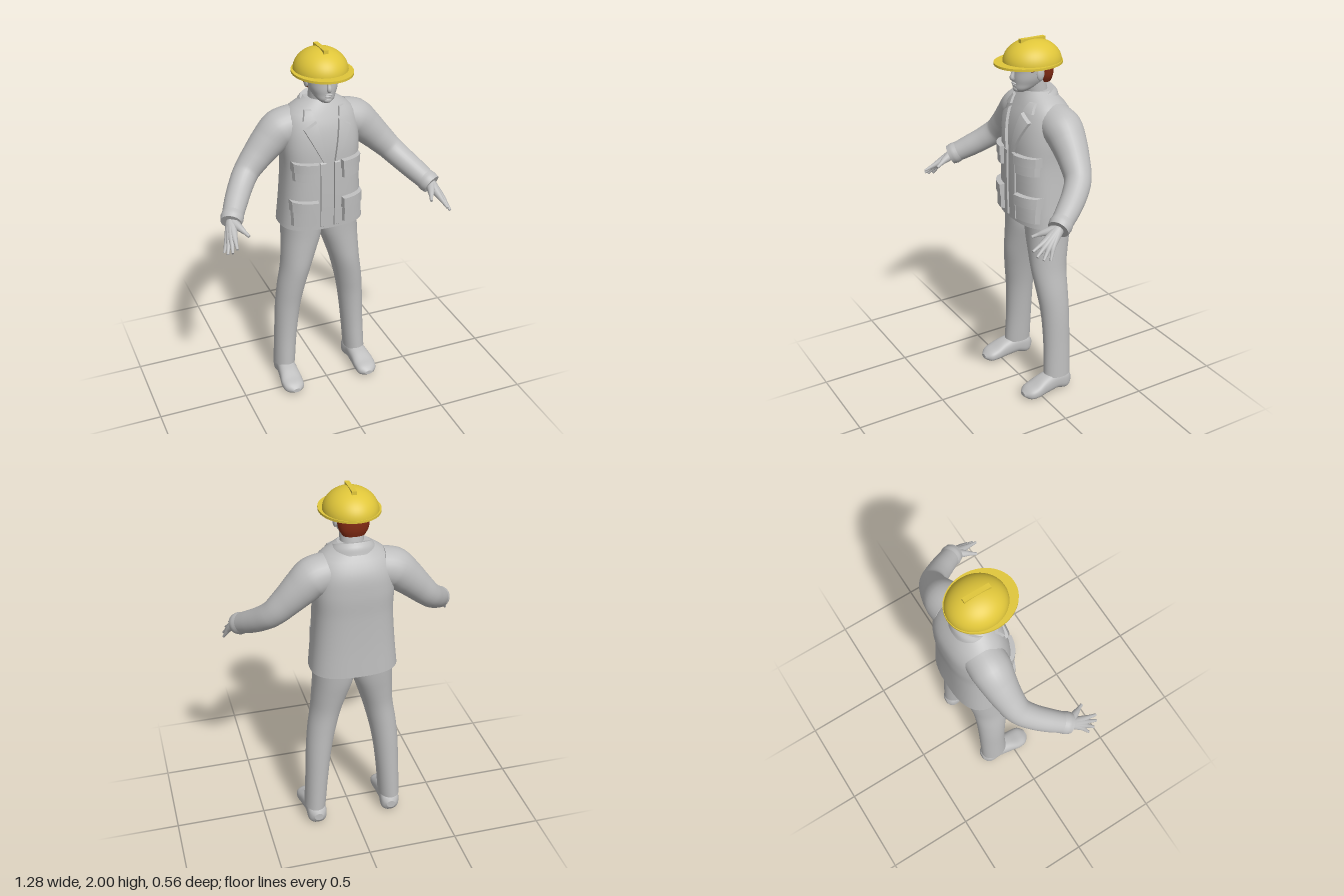
import * as THREE from 'three';

const material = (name, color) => Object.assign(new THREE.MeshStandardMaterial({ color }), { name });

// Turn every triangle outward by checking the sign of the enclosed volume
function orient(geo) {
  const p = geo.attributes.position, ix = geo.index.array;
  const a = new THREE.Vector3(), b = new THREE.Vector3(), c = new THREE.Vector3();
  let volume = 0;
  for (let i = 0; i < ix.length; i += 3) {
    a.fromBufferAttribute(p, ix[i]);
    b.fromBufferAttribute(p, ix[i + 1]);
    c.fromBufferAttribute(p, ix[i + 2]);
    volume += a.dot(b.cross(c));
  }
  if (volume < 0) for (let i = 0; i < ix.length; i += 3) [ix[i], ix[i + 1]] = [ix[i + 1], ix[i]];
  geo.computeVertexNormals();
  return geo;
}

// Closed skin over rings of points, with flat caps at both ends
function skin(rings) {
  const n = rings[0].length, m = rings.length, pts = rings.flat(), index = [];
  for (let j = 0; j < m - 1; j++) for (let i = 0; i < n; i++) {
    const a = j * n + i, b = j * n + (i + 1) % n;
    index.push(a, a + n, b, b, a + n, b + n);
  }
  [rings[0], rings[m - 1]].forEach((ring, end) => {
    const base = pts.length;
    const mid = ring.reduce((s, v) => s.add(v), new THREE.Vector3()).divideScalar(n);
    pts.push(...ring, mid);
    for (let i = 0; i < n; i++) {
      const a = base + i, b = base + (i + 1) % n;
      index.push(base + n, end ? b : a, end ? a : b);
    }
  });
  const geo = new THREE.BufferGeometry().setFromPoints(pts);
  geo.setIndex(index);
  return orient(geo);
}

// Rows are [station, centre x, low, high, half width, roundness]
const track = rows => {
  const curve = new THREE.CubicInterpolant(
    new Float32Array(rows.map(r => r[0])), new Float32Array(rows.flat()), 6);
  return t => Array.from(curve.evaluate(t));
};
const power = (v, p) => Math.sign(v) * Math.abs(v) ** p;

// Body lofted along y (upright) or along z (lying)
function body(rows, axis = 'y', steps = 32, sides = 40) {
  const at = track(rows), t0 = rows[0][0], t1 = rows[rows.length - 1][0], rings = [];
  for (let j = 0; j <= steps; j++) {
    const t = t0 + (t1 - t0) * j / steps;
    const [, cx, lo, hi, r, p] = at(t), ring = [];
    for (let i = 0; i < sides; i++) {
      const w = i / sides * Math.PI * 2;
      const x = cx + r * power(Math.cos(w), p);
      const d = (lo + hi) / 2 + (hi - lo) / 2 * power(Math.sin(w), p);
      ring.push(axis === 'y' ? new THREE.Vector3(x, t, d) : new THREE.Vector3(x, d, t));
    }
    rings.push(ring);
  }
  return skin(rings);
}

// Round limb through rows of [x, y, z, radius]
function limb(rows, steps = 24, sides = 20) {
  const curve = new THREE.CatmullRomCurve3(rows.map(r => new THREE.Vector3(r[0], r[1], r[2])));
  const ref = new THREE.Vector3(0.7, 0.7, 0.05), rings = [];
  for (let j = 0; j <= steps; j++) {
    const t = j / steps, k = t * (rows.length - 1), i0 = Math.min(Math.floor(k), rows.length - 2);
    const r = THREE.MathUtils.lerp(rows[i0][3], rows[i0 + 1][3], k - i0);
    const c = curve.getPoint(t);
    const u = curve.getTangent(t).cross(ref).normalize();
    const v = curve.getTangent(t).cross(u).normalize();
    rings.push(Array.from({ length: sides }, (_, i) => {
      const w = i / sides * Math.PI * 2;
      return c.clone().addScaledVector(u, r * Math.cos(w)).addScaledVector(v, r * Math.sin(w));
    }));
  }
  return skin(rings);
}

const torsoRows = [
  [1.02, 0, -.28, .045, .235, .75], [1.2, 0, -.275, .05, .218, .75], [1.36, 0, -.275, .05, .208, .75],
  [1.5, 0, -.28, .045, .212, .78], [1.6, 0, -.27, .025, .205, .85], [1.66, 0, -.24, 0, .18, .9],
  [1.7, 0, -.21, -.02, .13, 1], [1.73, 0, -.19, -.04, .08, 1]];
const torsoAt = track(torsoRows);

// Depth of the jacket front at a given point
function frontZ(x, y) {
  const [, , lo, hi, r, p] = torsoAt(y);
  const k = Math.min(Math.abs(x) / r, 0.97);
  return (lo + hi) / 2 + (hi - lo) / 2 * (1 - k ** (2 / p)) ** (p / 2);
}

// Cloth plate laid on the jacket front; corners are inner and outer, bottom then top
function plate([bi, bo, ti, to], depth, bevel = .05) {
  const geo = new THREE.BoxGeometry(1, 1, 1, 8, 10, 1), p = geo.attributes.position;
  const mix = THREE.MathUtils.lerp;
  for (let i = 0; i < p.count; i++) {
    const front = p.getZ(i) > 0, s = front ? 1 - bevel * 2 : 1;
    const u = p.getX(i) * s + .5, v = p.getY(i) * s + .5;
    const x = mix(mix(bi[0], bo[0], u), mix(ti[0], to[0], u), v);
    const y = mix(mix(bi[1], bo[1], u), mix(ti[1], to[1], u), v);
    p.setXYZ(i, x, y, frontZ(x, y) + (front ? depth : -.02));
  }
  return orient(geo);
}
const rect = (x0, x1, y0, y1) => [[x0, y0], [x1, y0], [x0, y1], [x1, y1]];
const ball = (x, y, z, rx, ry, rz) =>
  new THREE.SphereGeometry(1, 20, 14).scale(rx, ry, rz).translate(x, y, z);

export function createModel() {
  const model = new THREE.Group();
  model.name = 'worker';
  const grey = material('plain grey', 0xbebebe);
  const yellow = material('helmet yellow', 0xe0c63a);
  const red = material('hair red brown', 0x842c14);
  const dark = material('eye dark', 0x3c3632);
  yellow.side = THREE.DoubleSide;

  const add = (name, geo, mat = grey) => {
    const mesh = new THREE.Mesh(geo, mat);
    mesh.name = name;
    model.add(mesh);
  };
  const pair = (name, geo, mat) => {
    add(name + 'Left', geo, mat);
    add(name + 'Right', orient(geo.clone().scale(-1, 1, 1)), mat);
  };

  // Jacket body and tilted collar
  add('jacket', body(torsoRows));
  const collar = body([[1.65, 0, -.22, .0, .13, 1], [1.69, 0, -.208, -.012, .116, 1],
    [1.715, 0, -.19, -.03, .1, 1]], 'y', 10);
  const cp = collar.attributes.position;
  for (let i = 0; i < cp.count; i++) cp.setY(i, cp.getY(i) + (-.1 - cp.getZ(i)) * .35);
  collar.computeVertexNormals();
  add('collar', collar);

  // Jacket opening, lapels and pockets
  pair('frontEdge', plate(rect(.022, .055, 1.022, 1.43), .01));
  pair('lapel', plate([[.022, 1.41], [.035, 1.41], [.06, 1.645], [.135, 1.6]], .016));
  pair('upperLapel', plate([[.062, 1.645], [.13, 1.635], [.075, 1.69], [.11, 1.69]], .014));
  pair('chestPocket', plate(rect(.065, .192, 1.31, 1.4), .022, .08));
  pair('chestFlap', plate(rect(.06, .196, 1.365, 1.42), .03, .06));
  pair('hipPocket', plate(rect(.068, .205, 1.045, 1.17), .022, .08));
  pair('hipFlap', plate(rect(.063, .208, 1.135, 1.2), .03, .06));

  // Sleeves and cuffs
  pair('sleeve', limb([[.13, 1.58, -.135, .105], [.21, 1.56, -.135, .106], [.27, 1.51, -.132, .095],
    [.34, 1.44, -.122, .081], [.41, 1.367, -.1, .069], [.46, 1.315, -.05, .065],
    [.51, 1.265, .02, .061], [.55, 1.225, .085, .055], [.565, 1.21, .11, .05]], 48, 28));
  pair('cuff', limb([[.543, 1.232, .073, .056], [.556, 1.219, .095, .06], [.568, 1.207, .116, .055]], 6, 28));

  // Hands: each finger starts at the wrist so that together they form the palm
  const wrist = [.565, 1.21, .11, .03];
  const fingers = {
    index: [[.578, 1.168, .195, .017], [.588, 1.135, .272, .007]],
    middle: [[.592, 1.158, .195, .017], [.61, 1.112, .262, .007]],
    ring: [[.603, 1.15, .185, .016], [.628, 1.095, .235, .007]],
    little: [[.608, 1.148, .168, .015], [.636, 1.088, .2, .006]],
    thumb: [[.535, 1.192, .178, .017], [.511, 1.172, .23, .008]],
  };
  for (const [name, [knuckle, tip]] of Object.entries(fingers)) {
    const mid = knuckle.map((v, i) => i < 3 ? (v + tip[i]) / 2 : .0105);
    pair(name + 'Finger', limb([wrist, knuckle, mid, tip], 16, 12));
  }

  // Trousers and shoes
  pair('trouserLeg', body([[.1, .22, -.2, -.04, .06, 1], [.3, .207, -.2, -.045, .064, 1],
    [.5, .19, -.2, -.035, .072, 1], [.62, .172, -.2, -.018, .078, 1], [.75, .145, -.205, 0, .085, 1],
    [.85, .125, -.22, .003, .097, .95], [.95, .107, -.237, .005, .109, .9], [1.06, .105, -.25, .01, .11, .9]]));
  pair('shoe', body([[-.203, .215, .03, .075, .025, 1], [-.185, .216, .004, .105, .046, .8],
    [-.1, .22, .008, .12, .052, .8], [-.02, .225, .003, .105, .058, .8], [.04, .228, 0, .078, .062, .8],
    [.085, .226, .003, .06, .05, .85], [.108, .225, .018, .042, .022, 1]], 'z'));

  // Neck and head
  add('neck', limb([[0, 1.6, -.115, .07], [0, 1.7, -.105, .062], [0, 1.8, -.085, .06]], 10, 28));
  add('head', body([[1.73, 0, -.03, .014, .025, 1], [1.745, 0, -.065, .026, .044, .95],
    [1.775, 0, -.13, .029, .063, .92], [1.8, 0, -.15, .031, .074, .92], [1.84, 0, -.163, .03, .081, .92],
    [1.88, 0, -.165, .032, .083, .92], [1.93, 0, -.14, 0, .065, 1], [1.96, 0, -.11, -.04, .035, 1]]));
  add('nose', limb([[0, 1.86, .028, .008], [0, 1.83, .034, .01], [0, 1.807, .04, .013], [0, 1.797, .033, .009]], 12, 14));
  add('upperLip', ball(0, 1.778, .03, .021, .005, .009));
  add('lowerLip', ball(0, 1.769, .028, .018, .005, .009));
  add('chin', ball(0, 1.747, .017, .022, .016, .014));
  pair('ear', ball(.081, 1.828, -.08, .011, .034, .022).rotateX(0));
  pair('brow', ball(.036, 1.862, .025, .025, .006, .009));
  pair('eye', ball(.034, 1.849, .0225, .014, .0045, .0045), dark);

  // Hair below the helmet
  add('hair', body([[1.772, 0, -.175, -.1, .058, .9], [1.8, 0, -.184, -.085, .074, .9],
    [1.84, 0, -.188, -.075, .082, .9], [1.9, 0, -.185, -.07, .085, .9]], 'y', 12), red);
  pair('sideburn', ball(.077, 1.867, -.035, .01, .024, .022), red);

  // Safety helmet: dome, oval brim and crest
  add('helmetDome', new THREE.SphereGeometry(1, 48, 20, 0, Math.PI * 2, 0, Math.PI / 2)
    .scale(.141, .117, .157).translate(0, 1.878, -.08), yellow);
  const oval = new THREE.Shape().absellipse(0, -.057, .157, .183, 0, Math.PI * 2);
  oval.holes.push(new THREE.Path().absellipse(0, -.08, .138, .153, 0, Math.PI * 2, true));
  add('helmetBrim', new THREE.ExtrudeGeometry(oval, { depth: .012, bevelEnabled: false, curveSegments: 48 })
    .rotateX(Math.PI / 2).translate(0, 1.884, 0), yellow);
  add('helmetCrest', new THREE.BoxGeometry(.024, .03, .145).translate(0, 1.985, -.078), yellow);

  return model;
}
